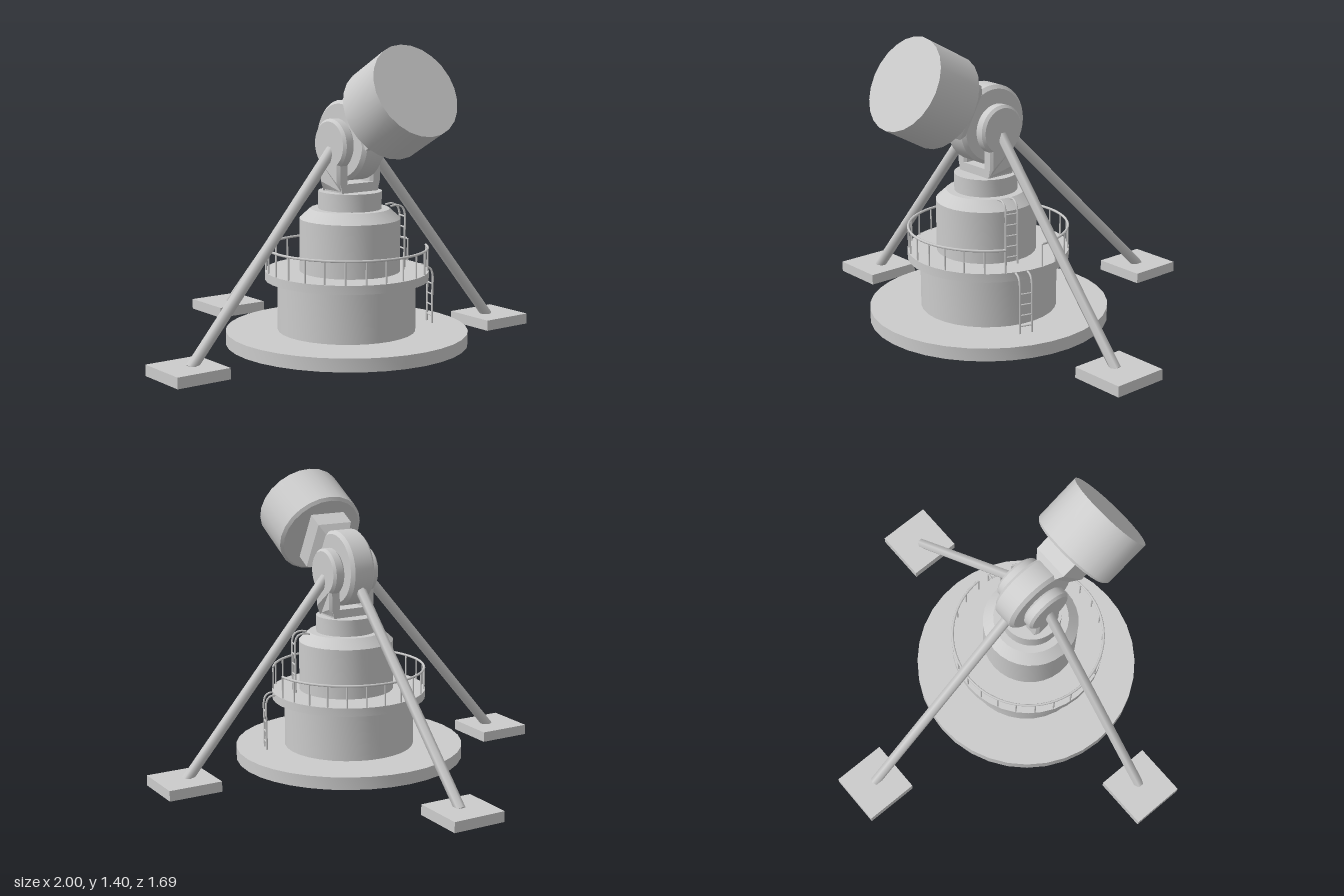
import * as THREE from 'three';
import { toCreasedNormals } from 'three/addons/utils/BufferGeometryUtils.js';

const material = new THREE.MeshStandardMaterial({ color: 0xcccccc });
const V = (x, y, z) => new THREE.Vector3(x, y, z);

function part(parent, name, geometry, x = 0, y = 0, z = 0) {
  const mesh = new THREE.Mesh(geometry, material);
  mesh.name = name;
  mesh.position.set(x, y, z);
  parent.add(mesh);
  return mesh;
}

// Solid of revolution from [radius, height] pairs, listed bottom to top
function turned(profile, sides) {
  const points = profile.map(([r, y]) => new THREE.Vector2(r, y));
  return toCreasedNormals(new THREE.LatheGeometry(points, sides), 0.5);
}

// Bevelled plate whose outline lies in the z-y plane, centred on x = 0
function plate(shape, width, bevel) {
  const g = new THREE.ExtrudeGeometry(shape, {
    depth: width - 2 * bevel, bevelThickness: bevel, bevelSize: bevel,
    bevelOffset: -bevel, bevelSegments: 1, curveSegments: 20,
  });
  g.translate(0, 0, bevel - width / 2);
  g.rotateY(-Math.PI / 2);
  return g;
}

// Round bar between two points
function bar(parent, name, a, b, radius, sides) {
  const mesh = part(parent, name, new THREE.CylinderGeometry(radius, radius, a.distanceTo(b), sides));
  mesh.position.copy(a).lerp(b, 0.5);
  mesh.quaternion.setFromUnitVectors(V(0, 1, 0), b.clone().sub(a).normalize());
  return mesh;
}

// Ladder whose side rails hook inward (local -x) at the top
function ladder(parent, name, cx, cz, angle, radius, hookRadius, bottom, top) {
  const group = new THREE.Group();
  group.name = name;
  group.position.set(cx, 0, cz);
  group.rotation.y = -angle;
  const bend = Math.min(0.04, (radius - hookRadius) * 0.7);
  for (const z of [-0.029, 0.029]) {
    const path = new THREE.CatmullRomCurve3([
      V(radius, bottom, z), V(radius, (bottom + top) / 2, z), V(radius, top - bend, z),
      V(radius - bend * 0.3, top - bend * 0.3, z), V(radius - bend, top, z), V(hookRadius, top - 0.005, z),
    ], false, 'centripetal');
    part(group, 'ladderRail', new THREE.TubeGeometry(path, 28, 0.005, 6));
  }
  for (let y = bottom + 0.035; y < top - bend; y += 0.05) {
    bar(group, 'ladderRung', V(radius, y, -0.029), V(radius, y, 0.029), 0.004, 6);
  }
  parent.add(group);
}

export function createModel() {
  const model = new THREE.Group();
  model.name = 'telescope';
  const baseX = -0.008, baseZ = 0.273; // axis of the base and platform
  const axisZ = 0.289, pivotY = 0.96;  // axis of the tower and tilt pivot

  // Base, lower drum and walkway
  part(model, 'baseDisc', turned([[0, 0.03], [0.553, 0.03], [0.553, 0.09], [0, 0.09]], 36), baseX, 0, baseZ);
  part(model, 'lowerDrum', turned([[0, 0.085], [0.315, 0.085], [0.315, 0.33], [0, 0.33]], 32), baseX, 0, baseZ);
  part(model, 'walkway', turned([[0, 0.325], [0.373, 0.325], [0.373, 0.365], [0, 0.365]], 36), baseX, 0, baseZ);

  // Tower with sloped shoulder and neck
  part(model, 'tower', turned([
    [0, 0.36], [0.229, 0.36], [0.229, 0.605], [0.18, 0.65], [0.144, 0.65], [0.144, 0.73], [0, 0.73],
  ], 32), -0.003, 0, axisZ);

  // Railing, open where the ladders arrive
  const railing = new THREE.Group();
  railing.name = 'railing';
  railing.position.set(baseX, 0, baseZ);
  model.add(railing);
  const start = THREE.MathUtils.degToRad(28), arc = THREE.MathUtils.degToRad(331);
  const railRadius = 0.367, posts = 24;
  const rail = new THREE.TorusGeometry(railRadius, 0.006, 6, 60, arc);
  rail.rotateZ(start);
  rail.rotateX(Math.PI / 2);
  part(railing, 'handrail', rail, 0, 0.47, 0);
  for (let i = 0; i < posts; i++) {
    const a = start + (arc * i) / (posts - 1);
    part(railing, 'railPost', new THREE.CylinderGeometry(0.004, 0.004, 0.11, 6),
      railRadius * Math.cos(a), 0.415, railRadius * Math.sin(a));
  }

  ladder(model, 'lowerLadder', baseX, baseZ, 0.29, 0.415, 0.36, 0.09, 0.36);
  ladder(model, 'upperLadder', 0, axisZ, 0.25, 0.258, 0.185, 0.365, 0.655);

  // Fork: two round-topped arms, tapering at the foot, joined by a bridge
  const armY = 0.945, armR = 0.115, half = 0.07;
  const join = Math.asin(half / armR);
  const outline = new THREE.Shape();
  outline.moveTo(-half, 0.725);
  outline.lineTo(half, 0.725);
  outline.lineTo(half, 0.775);
  outline.absarc(0, armY, armR, join - Math.PI / 2, Math.PI * 1.5 - join, false);
  outline.lineTo(-half, 0.775);
  outline.closePath();
  for (const side of [-1, 1]) {
    const g = plate(outline, 0.06, 0.012);
    const p = g.attributes.position;
    for (let i = 0; i < p.count; i++) {
      if (p.getY(i) < 0.75 && p.getX(i) * side > 0) p.setX(i, 0.006 * side);
    }
    g.computeVertexNormals();
    part(model, 'forkArm', toCreasedNormals(g, 0.5), side * 0.0935, 0, axisZ);
  }
  part(model, 'forkBridge', new THREE.BoxGeometry(0.18, 0.045, 0.14), 0, 0.748, axisZ);

  // Tilting head; local +z is the pointing direction
  const head = new THREE.Group();
  head.name = 'tiltingHead';
  head.position.set(0, pivotY, axisZ);
  head.rotation.x = -0.505;
  model.add(head);

  const circle = new THREE.Shape().absarc(0, 0, 0.181, 0, Math.PI * 2, false);
  part(head, 'pivotDisc', toCreasedNormals(plate(circle, 0.128, 0.016), 0.5));

  const w = 0.09, h = 0.127;
  const block = new THREE.Shape([[-w, -h], [w, -h], [w, h], [-w, h]].map(([x, y]) => new THREE.Vector2(x, y)));
  part(head, 'neckBlock', new THREE.ExtrudeGeometry(block, {
    depth: 0.09, bevelThickness: 0.05, bevelSize: 0.03, bevelOffset: -0.03, bevelSegments: 1,
  }), 0, 0, 0.18);

  const barrel = turned([[0, 0.262], [0.203, 0.262], [0.217, 0.275], [0.217, 0.511], [0, 0.511]], 24);
  barrel.rotateX(Math.PI / 2);
  part(head, 'barrel', barrel);

  // Three stay legs with square foot pads
  const legs = [
    { foot: V(-0.855, 0.04, axisZ), top: V(-0.1, 0.93, axisZ), pad: [-0.869, 0.286] },
    { foot: V(0.855, 0.04, axisZ), top: V(0.1, 0.93, axisZ), pad: [0.869, 0.286] },
    { foot: V(0, 0.04, -0.708), top: V(0, 0.92, 0.19), pad: [-0.008, -0.713] },
  ];
  for (const { foot, top, pad } of legs) {
    bar(model, 'stayLeg', foot, top, 0.025, 6);
    part(model, 'footPad', new THREE.BoxGeometry(0.262, 0.05, 0.262), pad[0], 0.025, pad[1]);
  }
  return model;
}
